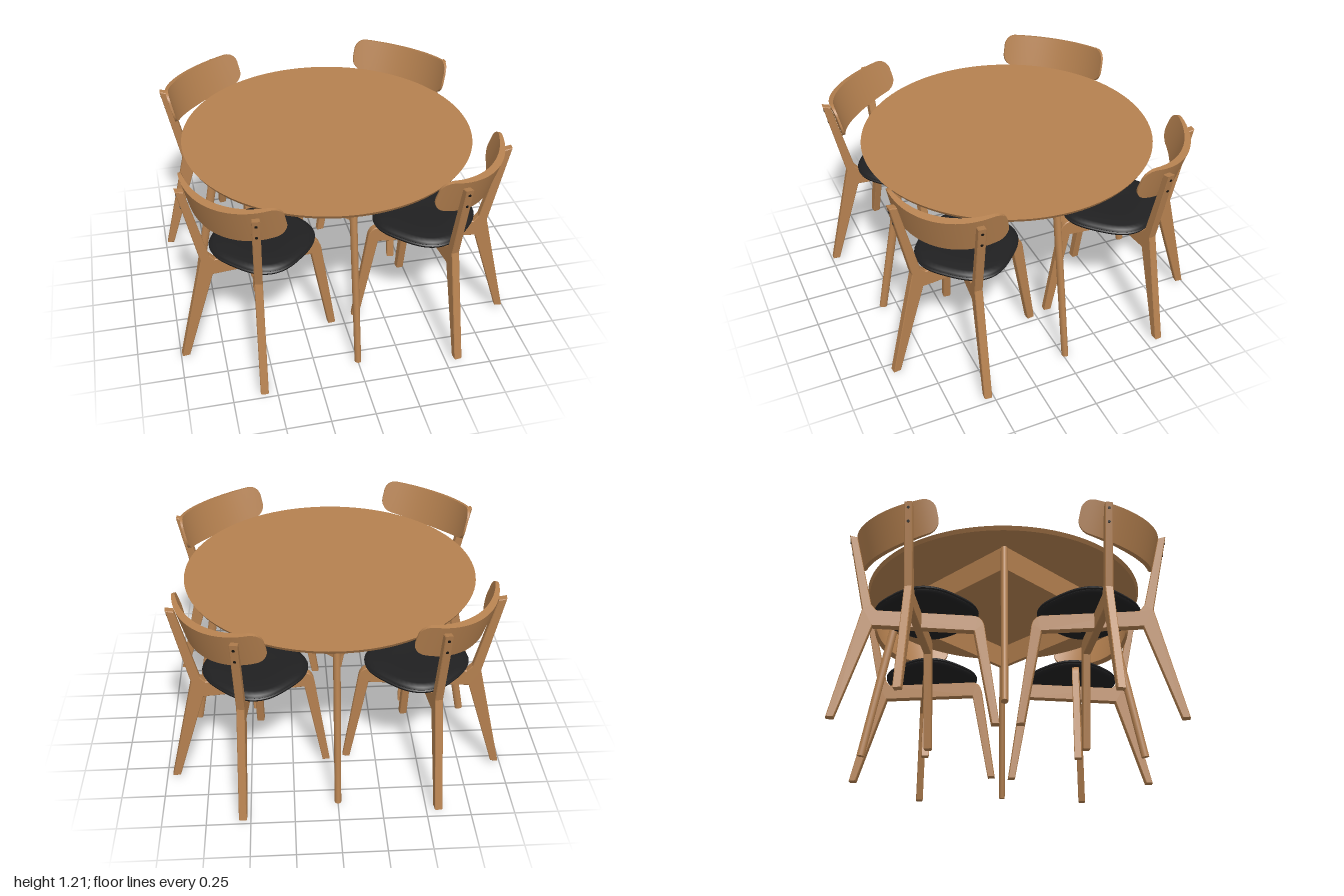
import * as THREE from 'three';
import { toCreasedNormals } from 'three/addons/utils/BufferGeometryUtils.js';

const material = (name, color) => {
  const m = new THREE.MeshStandardMaterial({ color });
  m.name = name;
  return m;
};

function add(parent, name, geometry, mat) {
  const mesh = new THREE.Mesh(geometry, mat);
  mesh.name = name;
  parent.add(mesh);
  return mesh;
}

// Side frame outline: back leg with post, seat rail and front leg in one piece
function frameGeometry() {
  const s = new THREE.Shape();
  s.moveTo(0.005, 0.02);
  s.lineTo(0.048, 0.02);
  s.lineTo(0.222, 0.58);
  s.lineTo(0.798, 0.58);
  s.lineTo(0.902, 0.02);
  s.lineTo(0.945, 0.02);
  s.lineTo(0.857, 0.615);
  s.quadraticCurveTo(0.845, 0.68, 0.785, 0.68);
  s.lineTo(0.24, 0.68);
  s.lineTo(0.21, 0.715);
  s.lineTo(0.105, 1.155);
  s.lineTo(0.06, 1.165);
  s.lineTo(0.16, 0.685);
  s.closePath();
  const b = 0.004, t = 0.045;
  const g = new THREE.ExtrudeGeometry(s, {
    depth: t - 2 * b, bevelEnabled: true, bevelThickness: b, bevelSize: b,
    bevelOffset: -b, bevelSegments: 1, curveSegments: 8,
  });
  return g.translate(0, 0, -t / 2 + b);
}

// Bent panel with rounded corners, thin at its ends, lower edge rising outward
function backrestGeometry() {
  const L = 0.375, H = 0.222, R = 0.46, r = 0.07;
  const g = new THREE.BoxGeometry(2, 1, 1, 48, 6, 1);
  const p = g.attributes.position;
  for (let i = 0; i < p.count; i++) {
    const s = Math.sin(p.getX(i) * Math.PI / 2) * L; // columns gather at the ends
    const d = Math.max(0, Math.abs(s) - (L - r));
    const half = H / 2 - r + Math.sqrt(Math.max(0, r * r - d * d));
    const e = (s / L) ** 2;
    const y = p.getY(i) * 2 * half + (0.5 - p.getY(i)) * 0.025 * e;
    const radius = R - p.getZ(i) * (0.04 - 0.028 * e);
    p.setXYZ(i, radius * Math.sin(s / R), y, R - radius * Math.cos(s / R));
  }
  return toCreasedNormals(g, 0.7);
}

// Padded seat: turned profile squared off into a rounded square
function seatGeometry() {
  const profile = [
    [0, 0.678], [0.25, 0.678], [0.266, 0.686], [0.271, 0.698], [0.265, 0.704], [0.272, 0.711],
    [0.266, 0.724], [0.24, 0.734], [0.13, 0.73], [0, 0.727],
  ].map(([x, y]) => new THREE.Vector2(x, y));
  const g = new THREE.LatheGeometry(profile, 56);
  const p = g.attributes.position;
  const n = 2.8;
  for (let i = 0; i < p.count; i++) {
    const a = Math.atan2(p.getX(i), p.getZ(i));
    const k = (Math.abs(Math.sin(a)) ** n + Math.abs(Math.cos(a)) ** n) ** (-1 / n);
    p.setX(i, p.getX(i) * k);
    p.setZ(i, p.getZ(i) * k);
  }
  return toCreasedNormals(g, 0.8);
}

export function createModel() {
  const model = new THREE.Group();
  model.name = 'diningSet';
  const wood = material('wood', 0xb4804f);
  const fabric = material('seatFabric', 0x202021);
  const dark = material('darkMetal', 0x17130f);

  // Round table
  const table = new THREE.Group();
  table.name = 'table';
  table.position.z = -0.01;
  model.add(table);
  add(table, 'tableTop', new THREE.CylinderGeometry(0.855, 0.842, 0.022, 96), wood).position.y = 1.049;
  const legGeometry = new THREE.CylinderGeometry(0.021, 0.019, 1.05, 16);
  for (let i = 0; i < 4; i++) {
    const side = new THREE.Group();
    side.name = 'tableSide';
    side.rotation.y = i * Math.PI / 2;
    table.add(side);
    // Oval leg splaying outward to the floor
    const leg = add(side, 'tableLeg', legGeometry, wood);
    leg.position.set(0, 0.521, 0.747);
    leg.rotation.x = -0.184;
    leg.scale.z = 1.25;
    // Apron rail from this leg to the next
    const apron = add(side, 'apron', new THREE.BoxGeometry(0.93, 0.148, 0.026), wood);
    apron.position.set(0.33, 0.964, 0.33);
    apron.rotation.y = Math.PI / 4;
  }

  // Chairs: origin lies between the back feet, +z faces the table
  const frame = frameGeometry(), backrest = backrestGeometry(), seat = seatGeometry();
  const screw = new THREE.CylinderGeometry(0.008, 0.008, 0.006, 12);
  const places = [[-0.787, 0.787], [0.782, 0.753], [0.757, -0.787], [-0.78, -0.763]];
  for (const [x, z] of places) {
    const chair = new THREE.Group();
    chair.name = 'chair';
    chair.position.set(x, 0, z);
    chair.rotation.y = Math.atan2(-Math.sign(x), -Math.sign(z));
    model.add(chair);

    // Two side frames crossing under the seat
    for (const s of [-1, 1]) {
      const half = new THREE.Group();
      half.name = 'crossFrame';
      half.position.x = 0.3 * s;
      half.rotation.y = Math.atan2(-0.779, -0.627 * s);
      chair.add(half);
      add(half, 'legFrame', frame, wood);
      for (const y of [1.05, 1.13]) {
        const m = add(half, 'screw', screw, dark);
        m.position.set(0.16 - (y - 0.685) * 0.2083, y, 0);
        m.rotation.z = 1.776;
      }
    }
    add(chair, 'seat', seat, fabric).position.z = 0.435;
    const back = add(chair, 'backrest', backrest, wood);
    back.position.set(0, 1.068, 0.066);
    back.rotation.x = -0.3;
  }
  return model;
}
